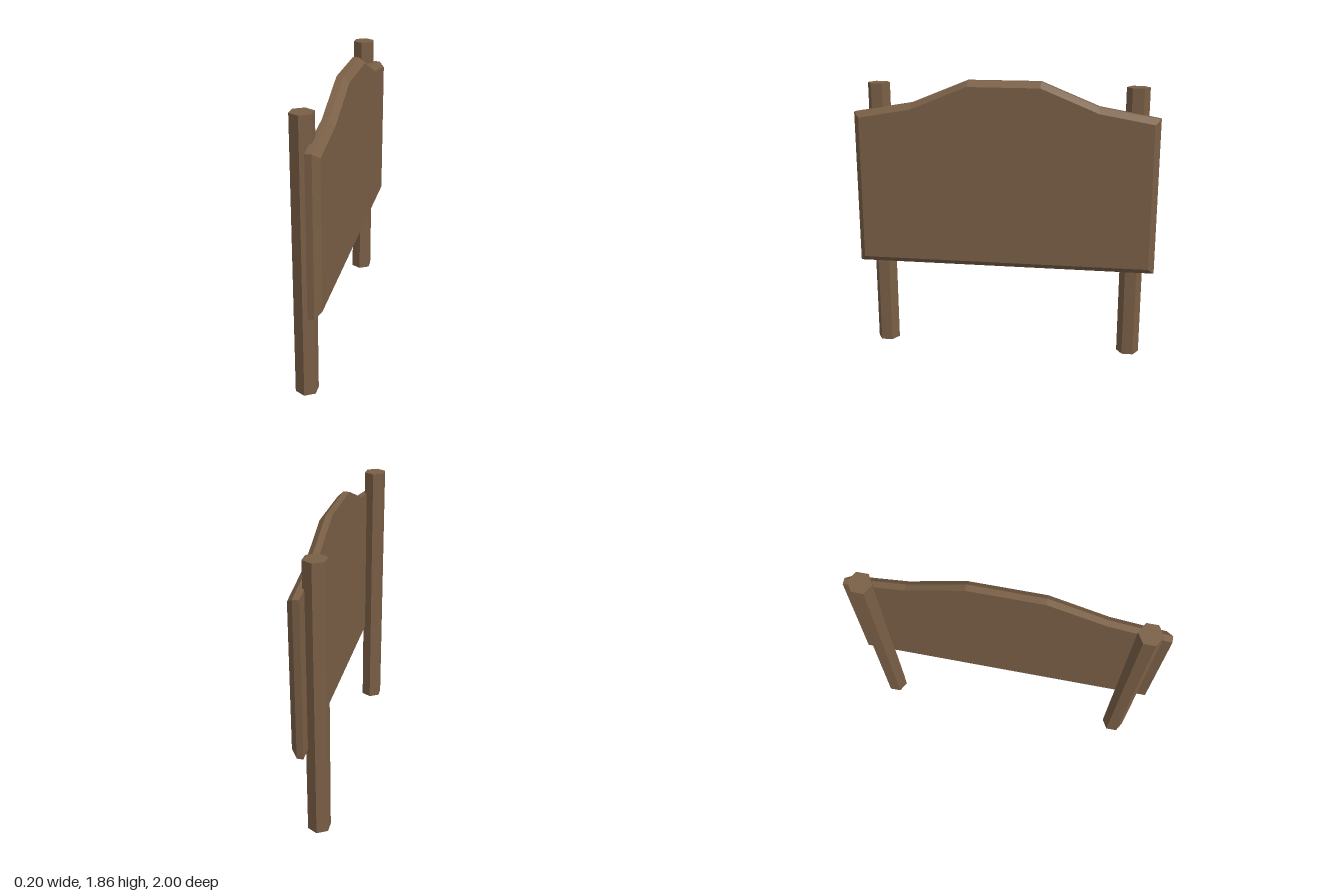
import * as THREE from 'three';

const wood = new THREE.MeshStandardMaterial({ color: 0x7a5f46, flatShading: true, side: THREE.DoubleSide });

// Mirrors a half outline [z, y] across the middle, giving a closed loop
function mirrored(half) {
  return [...half, ...half.slice().reverse().map(([z, y]) => [-z, y])];
}

// Panel: stacked loops along x, joined by walls and closed at both ends
function panelGeometry(sections) {
  const positions = [];
  const index = [];
  const n = sections[0].loop.length;
  for (const { x, loop } of sections) {
    for (const [z, y] of loop) positions.push(x, y, z);
  }
  for (let s = 0; s < sections.length - 1; s++) {
    for (let i = 0; i < n; i++) {
      const a = s * n + i;
      const b = s * n + (i + 1) % n;
      index.push(a, a + n, b, b, a + n, b + n);
    }
  }
  const last = (sections.length - 1) * n;
  const contour = sections[0].loop.map(([z, y]) => new THREE.Vector2(z, y));
  for (const [a, b, c] of THREE.ShapeUtils.triangulateShape(contour, [])) {
    index.push(a, b, c, last + a, last + c, last + b);
  }
  const geometry = new THREE.BufferGeometry();
  geometry.setAttribute('position', new THREE.Float32BufferAttribute(positions, 3));
  geometry.setIndex(index);
  const flat = geometry.toNonIndexed();
  flat.computeVertexNormals();
  return flat;
}

export function createModel() {
  const model = new THREE.Group();
  model.name = 'headboard';

  // Arched panel with a chamfered front edge
  const outer = mirrored([[1, 0.607], [1, 1.637], [0.61, 1.705], [0.237, 1.857]]);
  const inner = mirrored([[0.962, 0.645], [0.962, 1.605], [0.61, 1.667], [0.237, 1.82]]);
  const panel = new THREE.Mesh(panelGeometry([
    { x: 0.017, loop: outer },
    { x: 0.058, loop: outer },
    { x: 0.097, loop: inner },
  ]), wood);
  panel.name = 'panel';
  model.add(panel);

  // Hexagonal posts, closed on top and open underneath
  const profile = [[0.075, 0], [0.075, 1.823], [0, 1.823]].map(([r, y]) => new THREE.Vector2(r, y));
  const postGeometry = new THREE.LatheGeometry(profile, 6);
  for (const side of [-1, 1]) {
    const post = new THREE.Mesh(postGeometry, wood);
    post.name = side > 0 ? 'frontPost' : 'backPost';
    post.position.set(-0.034, 0, side * 0.85);
    model.add(post);
  }
  return model;
}
